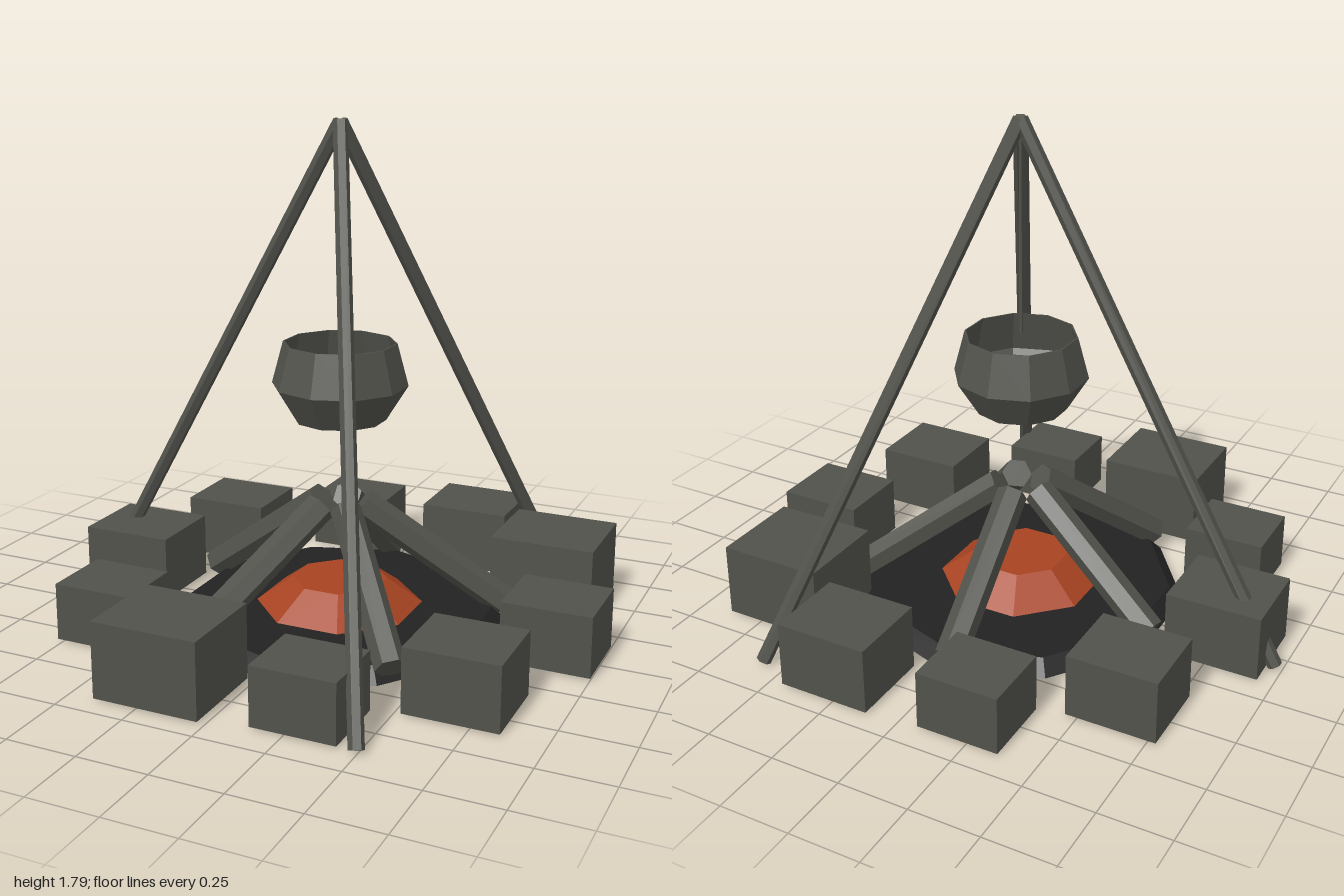
import * as THREE from 'three';

const CX = 0.035, CZ = -0.01; // centre of the fire pit

function flat(name, color) {
  const m = new THREE.MeshStandardMaterial({ color, flatShading: true });
  m.name = name;
  return m;
}

export function createModel() {
  const model = new THREE.Group();
  model.name = 'campfire';
  const stone = flat('stone grey', 0x52524c);
  const ash = flat('ash black', 0x222222);
  const ember = flat('ember orange', 0xa84422);

  function add(name, geometry, material, x = 0, y = 0, z = 0) {
    const mesh = new THREE.Mesh(geometry, material);
    mesh.name = name;
    mesh.position.set(x, y, z);
    model.add(mesh);
    return mesh;
  }

  // Straight six-sided bar leaning in from radius r0 to radius r1
  function leaningBar(name, degrees, r0, y0, r1, y1, thickness) {
    const a = THREE.MathUtils.degToRad(degrees);
    const at = (r, y) => new THREE.Vector3(CX + r * Math.cos(a), y, CZ + r * Math.sin(a));
    const low = at(r0, y0), high = at(r1, y1);
    const axis = high.clone().sub(low);
    const bar = add(name, new THREE.CylinderGeometry(thickness, thickness, axis.length(), 6), stone);
    bar.position.copy(low).add(high).multiplyScalar(0.5);
    bar.quaternion.setFromUnitVectors(new THREE.Vector3(0, 1, 0), axis.normalize());
  }

  // Ash bed and glowing embers
  add('ashBed', new THREE.CylinderGeometry(0.55, 0.6, 0.05, 10), ash, CX, 0.04, CZ);
  const embers = add('embers', new THREE.CylinderGeometry(0.17, 0.31, 0.1, 8), ember, CX, 0.107, CZ);
  embers.rotation.y = Math.PI / 8;

  // Ring of stones: x min, x max, z min, z max, top
  const stones = [
    [-0.365, -0.07, -0.91, -0.65, 0.215],
    [0.115, 0.45, -0.93, -0.635, 0.245],
    [0.5, 0.88, -0.66, -0.32, 0.275],
    [0.685, 1.0, -0.15, 0.125, 0.225],
    [0.525, 0.85, 0.32, 0.61, 0.235],
    [0.135, 0.43, 0.63, 0.885, 0.215],
    [-0.405, -0.025, 0.59, 0.925, 0.275],
    [-0.77, -0.475, 0.335, 0.595, 0.215],
    [-0.945, -0.605, -0.16, 0.135, 0.245],
    [-0.78, -0.46, -0.63, -0.35, 0.235],
  ];
  const base = 0.01;
  stones.forEach(([x0, x1, z0, z1, top], i) => {
    add(`stone${i + 1}`, new THREE.BoxGeometry(x1 - x0, top - base, z1 - z0), stone,
      (x0 + x1) / 2, (top + base) / 2, (z0 + z1) / 2);
  });

  // Five logs stacked in a cone
  for (let i = 0; i < 5; i++) leaningBar(`log${i + 1}`, 49.5 + 72 * i, 0.595, 0.07, 0.08, 0.44, 0.055);

  // Tripod poles
  for (let i = 0; i < 3; i++) leaningBar(`tripodPole${i + 1}`, 62.8 + 120 * i, 1.01, 0.015, 0, 1.78, 0.026);

  // Hanging line and open pot
  add('hangingLine', new THREE.CylinderGeometry(0.006, 0.006, 0.75, 6), stone, CX, 1.405, CZ);
  const profile = [
    [0, 0.75], [0.163, 0.75], [0.24, 0.875], [0.2, 1.025],
    [0.195, 1.025], [0.234, 0.875], [0.16, 0.756], [0, 0.756],
  ].map(([r, y]) => new THREE.Vector2(r, y));
  add('pot', new THREE.LatheGeometry(profile, 10), stone, CX, 0, CZ);

  return model;
}
